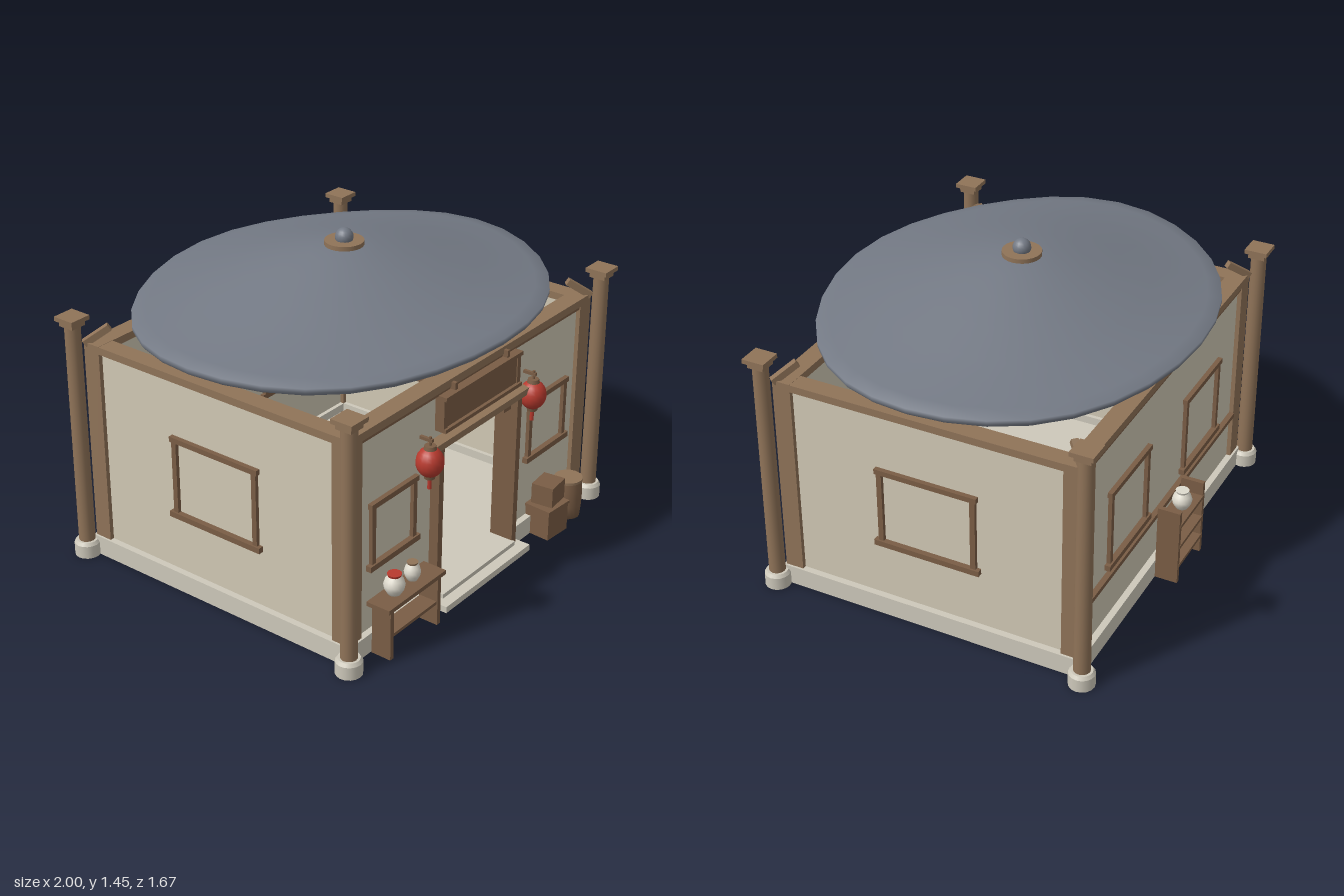
import * as THREE from 'three';

const mat = (name, color, side = THREE.FrontSide) => {
  const m = new THREE.MeshStandardMaterial({ color, side });
  m.name = name;
  return m;
};

export function createModel() {
  const wood = mat('wood', 0x8f7358);
  const darkWood = mat('dark wood', 0x7a5d45);
  const plaster = mat('plaster', 0xd0c8b4);
  const stone = mat('stone', 0xcdc8ba);
  const slate = mat('slate', 0x737984);
  const slateUnder = mat('slate underside', 0x66757a);
  const red = mat('red', 0xb83a2e);
  const ceramic = mat('ceramic', 0xdedacd);

  const model = new THREE.Group();
  const group = (name, parent = model) => {
    const g = new THREE.Group();
    g.name = name;
    parent.add(g);
    return g;
  };
  const mesh = (name, geo, material, x, y, z, parent = model) => {
    const m = new THREE.Mesh(geo, material);
    m.name = name;
    m.position.set(x, y, z);
    parent.add(m);
    return m;
  };
  // Box given by its x, y and z ranges
  const box = (name, material, x0, x1, y0, y1, z0, z1, parent) =>
    mesh(name, new THREE.BoxGeometry(x1 - x0, y1 - y0, z1 - z0), material,
      (x0 + x1) / 2, (y0 + y1) / 2, (z0 + z1) / 2, parent);
  const cyl = (name, material, r0, r1, y0, y1, x, z, parent, sides = 16) =>
    mesh(name, new THREE.CylinderGeometry(r1, r0, y1 - y0, sides), material, x, (y0 + y1) / 2, z, parent);
  const lathe = (name, material, pts, x, y, z, parent, sides = 20) =>
    mesh(name, new THREE.LatheGeometry(pts.map(p => new THREE.Vector2(...p)), sides), material, x, y, z, parent);

  const X = 0.875, Z = 0.71;       // outer faces of the timber frame
  const T = 0.085;                 // frame thickness

  // Floor, foundation and door step
  const base = group('foundation');
  box('floor', stone, -X, X, 0, 0.05, -Z, Z, base);
  box('backFoundation', stone, -X - 0.01, X + 0.01, 0, 0.09, -Z - 0.01, -Z + T, base);
  for (const s of [-1, 1]) {
    const a = s * 0.29, b = s * (X + 0.01), c = s * (X - T);
    box('frontFoundation', stone, Math.min(a, b), Math.max(a, b), 0, 0.09, Z - T, Z + 0.01, base);
    box('sideFoundation', stone, Math.min(b, c), Math.max(b, c), 0, 0.09, -Z, Z, base);
  }
  box('lowerStep', stone, -0.32, 0.32, 0, 0.03, 0.68, 0.8, base);
  box('upperStep', stone, -0.275, 0.275, 0, 0.05, 0.64, 0.75, base);

  // Plaster walls, the front one cut for the door
  const walls = group('walls');
  const wx = X - 0.02, wz = Z - 0.02, wt = 0.045;
  box('backWall', plaster, -wx, wx, 0.05, 1, -wz, -wz + wt, walls);
  box('leftWall', plaster, wx - wt, wx, 0.05, 1, -wz, wz, walls);
  box('rightWall', plaster, -wx, -wx + wt, 0.05, 1, -wz, wz, walls);
  box('frontWallLeft', plaster, 0.28, wx, 0.05, 1, wz - wt, wz, walls);
  box('frontWallRight', plaster, -wx, -0.28, 0.05, 1, wz - wt, wz, walls);
  box('frontWallOverDoor', plaster, -0.28, 0.28, 0.77, 1, wz - wt, wz, walls);

  // Timber frame: corner posts, top beams, columns and braces
  const frame = group('timberFrame');
  for (const s of [-1, 1]) {
    box('longBeam', wood, -X, X, 1, 1.035, s * (Z - T / 2) - T / 2, s * (Z - T / 2) + T / 2, frame);
    box('shortBeam', wood, s * (X - T / 2) - T / 2, s * (X - T / 2) + T / 2, 1, 1.034, -Z + T, Z - T, frame);
    box('longBeamTrim', darkWood, -X + T, X - T, 0.985, 1, s * (Z - 0.03) - 0.025, s * (Z - 0.03) + 0.025, frame);
    for (const t of [-1, 1]) {
      const px = s * (X - T / 2), pz = t * (Z - T / 2);
      box('cornerPost', wood, px - T / 2, px + T / 2, 0.09, 1, pz - T / 2, pz + T / 2, frame);
      const cx = s * 0.908, cz = t * 0.738;
      const column = group('column', frame);
      cyl('columnFoot', stone, 0.058, 0.058, 0, 0.06, cx, cz, column);
      cyl('columnFootRim', stone, 0.058, 0.048, 0.06, 0.075, cx, cz, column);
      cyl('columnShaft', wood, 0.037, 0.035, 0.075, 1.13, cx, cz, column);
      box('lowerCapital', wood, cx - 0.038, cx + 0.038, 1.115, 1.14, cz - 0.038, cz + 0.038, column);
      box('upperCapital', wood, cx - 0.052, cx + 0.052, 1.14, 1.16, cz - 0.052, cz + 0.052, column);
      const brace = mesh('cornerBrace', new THREE.BoxGeometry(0.03, 0.03, 0.13), wood,
        s * 0.835, 1.065, t * 0.67, frame);
      brace.lookAt(s * 0.765, 1.13, t * 0.6);
    }
  }
  box('backRail', darkWood, -X + T, X - T, 0.31, 0.332, -Z - 0.005, -wz, frame);

  // Window frames, made facing +z and turned onto their wall
  function windowFrame(name, x, z, turn, half, y0, y1) {
    const g = group(name);
    g.position.set(x, 0, z);
    g.rotation.y = turn;
    const d = 0.04;
    box('sill', darkWood, -half - 0.03, half + 0.03, y0, y0 + 0.026, -d, d + 0.008, g);
    box('head', darkWood, -half - 0.02, half + 0.02, y1 - 0.024, y1, -d, d + 0.004, g);
    for (const s of [-1, 1])
      box('jamb', darkWood, s * half - 0.012, s * half + 0.012, y0 + 0.026, y1 - 0.024, -d, d, g);
  }
  for (const s of [-1, 1]) {
    windowFrame('frontWindow', s * 0.568, wz - wt / 2, 0, 0.138, 0.375, 0.682);
    windowFrame('backWindow', s * 0.39, -wz + wt / 2, Math.PI, 0.182, 0.355, 0.74);
    windowFrame('sideWindow', s * (wx - wt / 2), 0, s * Math.PI / 2, 0.218, 0.355, 0.74);
  }

  // Doorway with brackets, and the blank board above it
  const door = group('doorway');
  for (const s of [-1, 1]) {
    box('doorPost', darkWood, s * 0.287 - 0.016, s * 0.287 + 0.016, 0.03, 0.76, 0.62, 0.735, door);
    box('doorBracket', darkWood, s * 0.245 - 0.026, s * 0.245 + 0.026, 0.7, 0.735, 0.66, 0.7, door);
    box('boardSide', darkWood, s * 0.268 - 0.012, s * 0.268 + 0.012, 0.835, 0.98, 0.69, 0.735, door);
    box('boardHanger', darkWood, s * 0.19 - 0.008, s * 0.19 + 0.008, 0.98, 1.02, 0.7, 0.73, door);
  }
  box('lintel', wood, -0.35, 0.35, 0.76, 0.79, 0.63, 0.745, door);
  box('board', darkWood, -0.256, 0.256, 0.84, 0.97, 0.69, 0.73, door);
  box('boardTopRail', darkWood, -0.28, 0.28, 0.97, 0.988, 0.69, 0.745, door);
  box('boardBottomRail', darkWood, -0.28, 0.28, 0.825, 0.842, 0.69, 0.745, door);

  // Red lanterns beside the door
  for (const s of [-1, 1]) {
    const g = group('lantern');
    g.position.set(s * 0.38, 0.74, 0.74);
    mesh('lanternBody', new THREE.SphereGeometry(0.06, 16, 12), red, 0, 0, 0, g).scale.y = 1.12;
    cyl('lanternTop', darkWood, 0.028, 0.024, 0.058, 0.076, 0, 0, g);
    cyl('lanternBottom', darkWood, 0.022, 0.026, -0.076, -0.06, 0, 0, g);
    cyl('lanternTassel', red, 0.009, 0.009, -0.125, -0.07, 0, 0, g, 8);
    cyl('lanternHook', darkWood, 0.006, 0.006, 0.07, 0.115, 0, 0, g, 8);
    box('lanternArm', darkWood, -0.007, 0.007, 0.092, 0.106, -0.06, 0.012, g);
  }

  // Oval roof: swept profile, gently waved at the rim
  const top = [[1, 1.168], [0.93, 1.182], [0.8, 1.207], [0.64, 1.245], [0.47, 1.289], [0.3, 1.33], [0.17, 1.356], [0.08, 1.367], [0, 1.37]];
  const wave = (r, a) => 0.009 * r * r * Math.cos(4 * a);
  const under = top.map(([r, y]) => [r * 0.99, y - 0.032]).reverse();
  const roof = group('roof');
  const roofSkin = (name, pts, material) => {
    const m = lathe(name, material, pts, 0, 0, 0, roof, 32);
    const p = m.geometry.attributes.position;
    for (let i = 0; i < p.count; i++) {
      const x = p.getX(i), z = p.getZ(i);
      p.setY(i, p.getY(i) + wave(Math.hypot(x, z), Math.atan2(z, x)));
    }
    m.geometry.scale(1, 1, 0.83);
  };
  roofSkin('roofTop', [[0.99, 1.136], [1, 1.15], ...top], slate);
  roofSkin('roofUnderside', under, slateUnder);
  for (let i = 0; i < 8; i++) {
    const a = i * Math.PI / 4;
    const path = new THREE.CatmullRomCurve3(under.filter(([r]) => r > 0.1 && r < 0.98).map(([r, y]) =>
      new THREE.Vector3(r * Math.cos(a), y - 0.004 + wave(r, a), r * Math.sin(a) * 0.83)));
    mesh('roofRib', new THREE.TubeGeometry(path, 10, 0.01, 6), darkWood, 0, 0, 0, roof);
  }
  cyl('finialDisc', wood, 0.086, 0.086, 1.378, 1.398, 0, 0, roof, 24);
  cyl('finialNeck', slate, 0.05, 0.05, 1.355, 1.38, 0, 0, roof, 24);
  mesh('finialBall', new THREE.SphereGeometry(0.04, 16, 12), slate, 0, 1.412, 0, roof);

  // Round jars
  function jar(x, y, z, r, h, rim) {
    const g = group('jar');
    lathe('jarBody', ceramic, [[0, 0], [r * 0.6, 0], [r * 0.93, h * 0.28], [r, h * 0.48], [r * 0.85, h * 0.72], [r * 0.55, h * 0.88], [r * 0.55, h * 0.92]], x, y, z, g);
    cyl('jarRim', rim, r * 0.6, r * 0.68, y + h * 0.88, y + h, x, z, g);
  }

  // Side table with two jars
  const table = group('table');
  box('tableTop', darkWood, -0.765, -0.375, 0.235, 0.255, 0.715, 0.83, table);
  box('tableShelf', darkWood, -0.73, -0.405, 0.1, 0.115, 0.73, 0.815, table);
  box('tableRail', darkWood, -0.73, -0.405, 0.155, 0.172, 0.725, 0.74, table);
  for (const x of [-0.73, -0.405])
    box('tableLeg', darkWood, x - 0.011, x + 0.011, 0, 0.235, 0.725, 0.82, table);
  jar(-0.645, 0.255, 0.765, 0.046, 0.095, red);
  jar(-0.515, 0.255, 0.76, 0.036, 0.085, wood);

  // Crates and barrel
  const goods = group('goods');
  const lower = box('lowerCrate', darkWood, 0.443, 0.587, 0, 0.145, 0.69, 0.825, goods);
  const lid = box('crateLid', darkWood, 0.438, 0.592, 0.135, 0.148, 0.685, 0.83, goods);
  lower.rotation.y = lid.rotation.y = -0.07;
  box('upperCrate', darkWood, 0.47, 0.592, 0.148, 0.245, 0.7, 0.805, goods).rotation.y = 0.1;
  lathe('barrel', darkWood, [[0, 0], [0.06, 0], [0.065, 0.06], [0.066, 0.1], [0.065, 0.14], [0.061, 0.185]], 0.7, 0, 0.755, goods);
  cyl('barrelLid', wood, 0.066, 0.066, 0.18, 0.192, 0.7, 0.755, goods);

  // Shelf with a jar against the back wall
  const shelf = group('backShelf');
  for (const x of [-0.15, 0.11])
    box('shelfSide', darkWood, x - 0.011, x + 0.011, 0, 0.37, -0.825, -0.72, shelf);
  for (const y of [0.08, 0.18, 0.29])
    box('shelfBoard', darkWood, -0.15, 0.11, y, y + 0.016, -0.828, -0.72, shelf);
  jar(-0.02, 0.306, -0.775, 0.045, 0.09, ceramic);

  return model;
}
